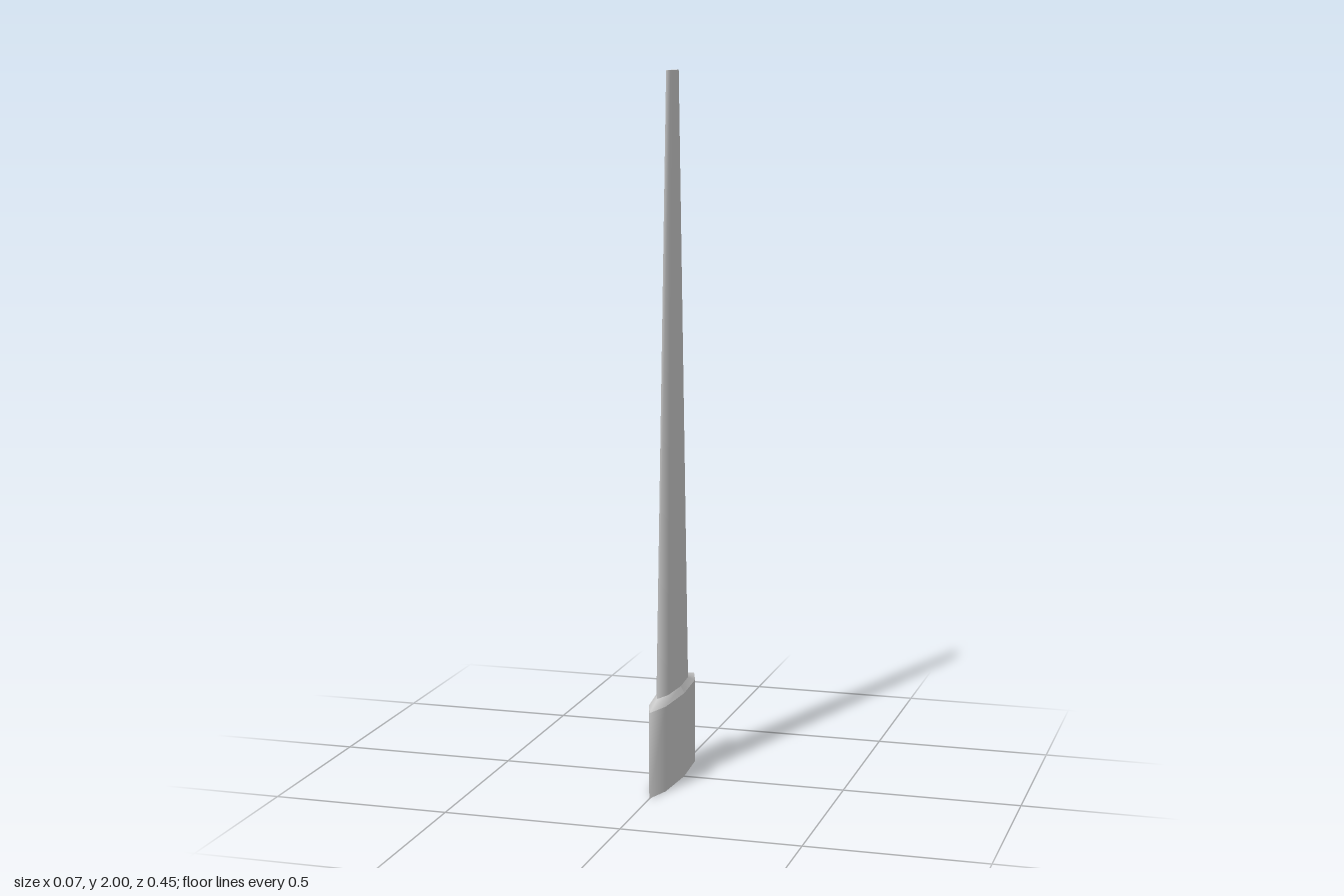
import * as THREE from 'three';

// Slim eight-sided section, starting and ending at the +x ridge
const RING = [[1, 0], [0.7, -0.667], [0, -1], [-0.7, -0.667], [-1, 0], [-0.7, 0.667], [0, 1], [0.7, 0.667], [1, 0]];

// Skin through sections given as [y, half thickness, half width]; the ridge seam stays sharp
function loft(sections) {
  const positions = [], index = [], n = RING.length;
  for (const [y, hx, hz] of sections)
    for (const [x, z] of RING) positions.push(x * hx, y, z * hz);
  for (let j = 0; j < sections.length - 1; j++)
    for (let i = 0; i < n - 1; i++) {
      const a = j * n + i, b = a + 1, c = a + n, d = c + 1;
      index.push(a, b, d, a, d, c);
    }
  const geometry = new THREE.BufferGeometry();
  geometry.setAttribute('position', new THREE.Float32BufferAttribute(positions, 3));
  geometry.setIndex(index);
  geometry.computeVertexNormals();
  return geometry;
}

export function createModel() {
  const group = new THREE.Group();
  group.name = 'taperedBlade';
  const material = new THREE.MeshStandardMaterial({ color: 0xcccccc, side: THREE.DoubleSide });
  const add = (name, geometry) => {
    const mesh = new THREE.Mesh(geometry, material);
    mesh.name = name;
    group.add(mesh);
    return mesh;
  };

  // Hollow collar, open underneath
  add('collar', loft([[0, 0.035, 0.226], [0.245, 0.035, 0.226]]));
  // Sloping shoulder between collar and blade
  add('shoulder', loft([[0.245, 0.035, 0.226], [0.265, 0.025, 0.15]]));
  // Long tapering blade
  add('blade', loft([[0.265, 0.025, 0.15], [2, 0.009, 0.06]]));

  // Flat cap at the tip
  const outline = RING.slice(0, -1).map(([x, z]) => new THREE.Vector2(x * 0.009, -z * 0.06));
  const cap = add('tipCap', new THREE.ShapeGeometry(new THREE.Shape(outline)));
  cap.rotation.x = -Math.PI / 2;
  cap.position.y = 2;

  return group;
}
